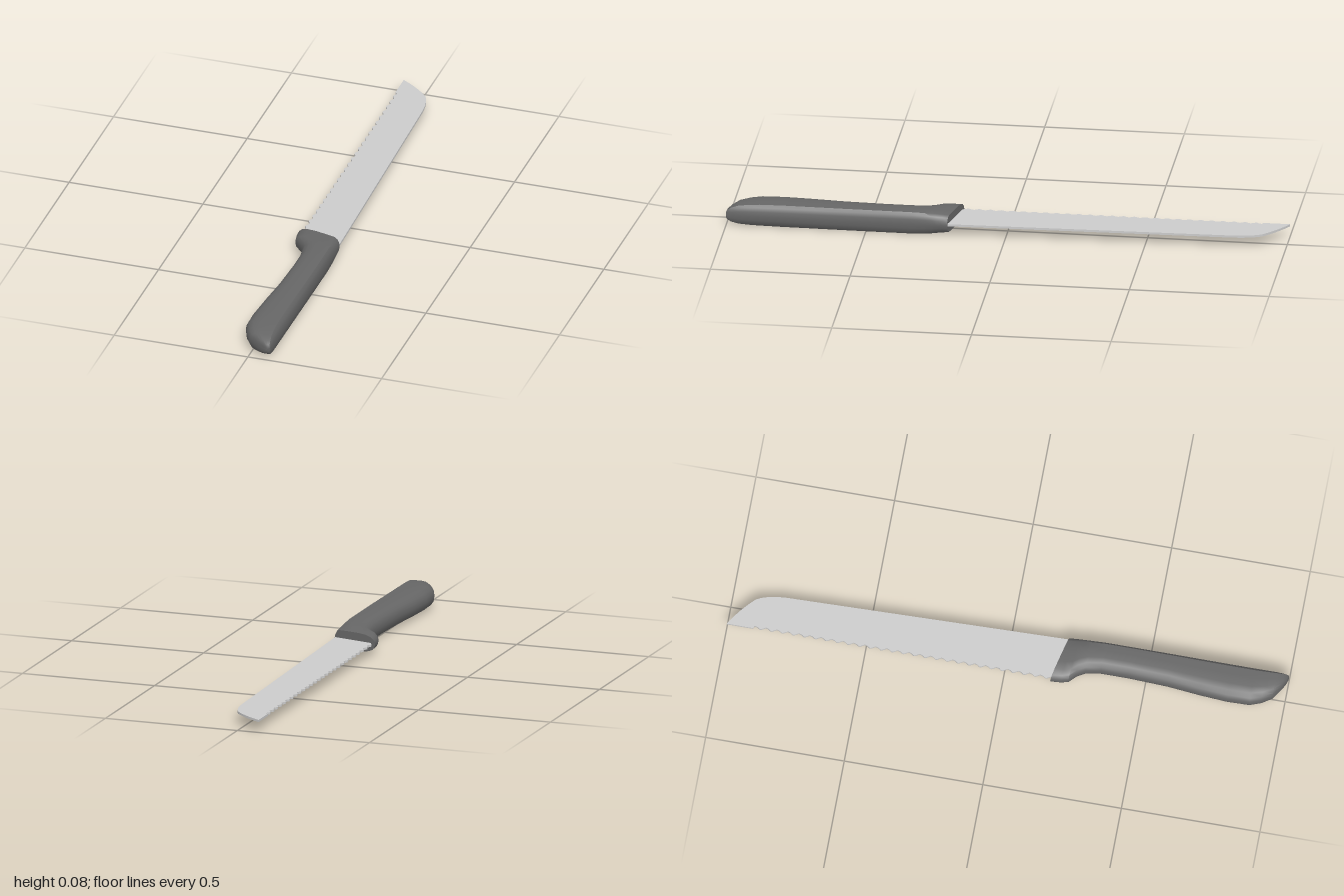
import * as THREE from 'three';
import { toCreasedNormals } from 'three/addons/utils/BufferGeometryUtils.js';

const MID = 0.0425; // height of the knife's centre plane

// Blade: flat outline with a scalloped cutting edge and a dropped tip
function bladeGeometry() {
  const thickness = 0.008;
  const s = new THREE.Shape();
  s.moveTo(-0.07, -0.2);
  s.lineTo(0.078, -0.24);
  s.lineTo(0.078, -0.2);
  s.lineTo(0.054, 0.81);
  s.quadraticCurveTo(0.05, 0.88, 0.028, 0.915);
  s.quadraticCurveTo(-0.02, 0.965, -0.08, 1.0);
  s.lineTo(-0.08, 0.905);
  s.lineTo(-0.07, 0.9);
  const teeth = 27, start = 0.9, end = -0.17, pitch = (start - end) / teeth;
  for (let i = 0; i < teeth; i++) {
    const y = start - i * pitch;
    s.lineTo(-0.073, y - pitch * 0.25);
    s.lineTo(-0.079, y - pitch * 0.45);
    s.lineTo(-0.079, y - pitch * 0.6);
    s.lineTo(-0.07, y - pitch);
  }
  const geo = new THREE.ExtrudeGeometry(s, { depth: thickness, bevelEnabled: false, curveSegments: 6 });
  geo.rotateX(-Math.PI / 2);
  geo.translate(0, MID - thickness / 2, 0);
  return geo;
}

// Handle: cross-sections lofted along z, slanted where they meet the blade
function handleGeometry() {
  // z at left edge, z at right edge, left x, right x, half height
  const sections = [
    [0.168, 0.208, -0.087, 0.081, 0.033],
    [0.205, 0.225, -0.084, 0.083, 0.035],
    [0.232, 0.245, -0.077, 0.084, 0.037],
    [0.255, 0.265, -0.052, 0.084, 0.039],
    [0.285, 0.29, -0.034, 0.084, 0.04],
    [0.34, 0.34, -0.024, 0.085, 0.042],
    [0.44, 0.44, -0.024, 0.085, 0.042],
    [0.58, 0.58, -0.03, 0.085, 0.042],
    [0.7, 0.7, -0.042, 0.085, 0.042],
    [0.8, 0.8, -0.049, 0.085, 0.042],
    [0.88, 0.88, -0.047, 0.085, 0.041],
    [0.92, 0.92, -0.032, 0.085, 0.039],
    [0.957, 0.957, -0.008, 0.085, 0.035],
    [0.982, 0.982, 0.03, 0.084, 0.027],
    [0.995, 0.995, 0.055, 0.083, 0.018],
    [1.0, 1.0, 0.068, 0.082, 0.008],
  ];
  // Upper half of the cross-section, left to right, mirrored for the lower half
  const upper = [[0, 0], [0.02, 0.38], [0.09, 0.7], [0.22, 0.92], [0.4, 1], [0.65, 1],
    [0.88, 0.97], [0.95, 0.75], [0.985, 0.4], [1, 0]];
  const ring = upper.concat(upper.slice(1, -1).reverse().map(([u, v]) => [u, -v]));
  const n = ring.length, pos = [], idx = [];
  for (const [zl, zr, xl, xr, h] of sections)
    for (const [u, v] of ring) pos.push(xl + (xr - xl) * u, MID + h * v, zl + (zr - zl) * u);
  for (let i = 0; i < sections.length - 1; i++)
    for (let j = 0; j < n; j++) {
      const a = i * n + j, b = i * n + (j + 1) % n;
      idx.push(a, a + n, b, b, a + n, b + n);
    }
  // End caps
  const last = (sections.length - 1) * n;
  for (let j = 1; j < n - 1; j++) {
    idx.push(0, j, j + 1);
    idx.push(last, last + j + 1, last + j);
  }
  const geo = new THREE.BufferGeometry();
  geo.setAttribute('position', new THREE.Float32BufferAttribute(pos, 3));
  geo.setIndex(idx);
  return toCreasedNormals(geo, 0.7);
}

export function createModel() {
  const knife = new THREE.Group();
  knife.name = 'breadKnife';

  const blade = new THREE.Mesh(bladeGeometry(), new THREE.MeshStandardMaterial({ color: 0xcccccc }));
  blade.name = 'blade';

  const handle = new THREE.Mesh(handleGeometry(), new THREE.MeshStandardMaterial({ color: 0x666666 }));
  handle.name = 'handle';

  knife.add(blade, handle);
  return knife;
}
